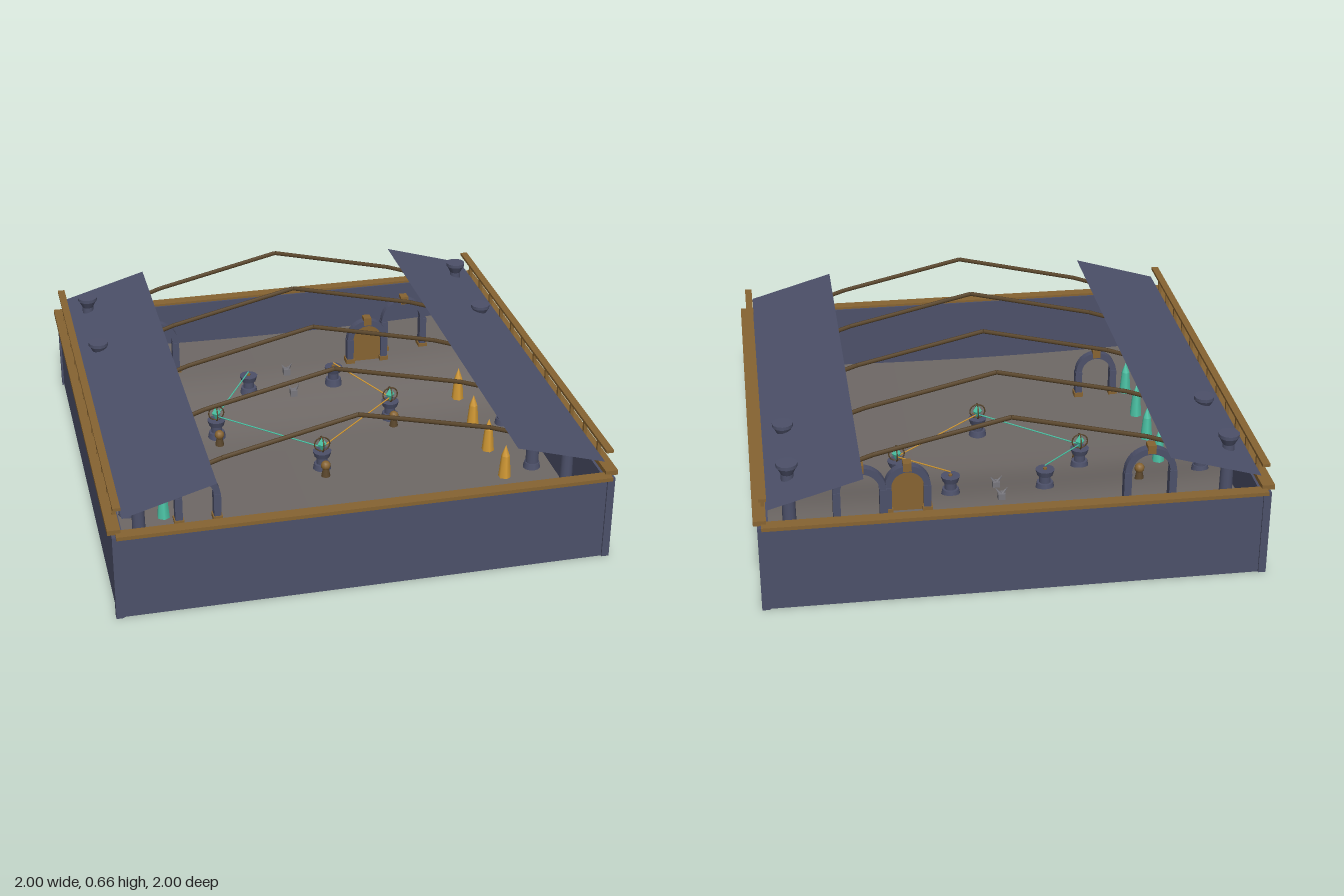
import * as THREE from 'three';

const mat = (name, color, side = THREE.FrontSide) => {
  const m = new THREE.MeshStandardMaterial({ color, side });
  m.name = name;
  return m;
};

// Ground height: level court, rising to a terrace at the back
const ground = (x, z) => {
  const t = THREE.MathUtils.clamp((-0.1 - z) / 0.5, 0, 1);
  return 0.07 + 0.025 * x * x + 0.09 * t * t * (3 - 2 * t);
};

export function createModel() {
  const root = new THREE.Group();
  root.name = 'courtyard';
  const slate = mat('slateBlue', 0x4c5069);
  const roofMat = mat('roofBlue', 0x4c5069, THREE.DoubleSide);
  const bronze = mat('bronze', 0x866331);
  const dark = mat('darkBronze', 0x59452a);
  const stone = mat('floorStone', 0x6e6865, THREE.DoubleSide);
  const rubble = mat('paleStone', 0x77767c);
  const teal = mat('teal', 0x4cc4a6);
  const gold = mat('brightGold', 0xd39a35);

  const add = (name, geo, m, x = 0, y = 0, z = 0, parent = root) => {
    const mesh = new THREE.Mesh(geo, m);
    mesh.name = name;
    mesh.position.set(x, y, z);
    parent.add(mesh);
    return mesh;
  };
  const box = (name, w, h, d, m, x, y, z, parent) =>
    add(name, new THREE.BoxGeometry(w, h, d), m, x, y, z, parent);
  const cyl = (name, rt, rb, h, m, x, y, z, parent, n = 12) =>
    add(name, new THREE.CylinderGeometry(rt, rb, h, n), m, x, y, z, parent);
  const rod = (name, a, b, r, m) => {
    const d = new THREE.Vector3().subVectors(b, a);
    const mesh = cyl(name, r, r, d.length(), m, 0, 0, 0, root, 6);
    mesh.position.copy(a).addScaledVector(d, 0.5);
    mesh.quaternion.setFromUnitVectors(new THREE.Vector3(0, 1, 0), d.normalize());
  };
  const place = (name, x, z) => {
    const g = new THREE.Group();
    g.name = name;
    g.position.set(x, ground(x, z), z);
    root.add(g);
    return g;
  };

  // Floor, lifted by the ground rule
  const floorGeo = new THREE.PlaneGeometry(1.92, 1.92, 32, 32).rotateX(-Math.PI / 2);
  const p = floorGeo.attributes.position;
  for (let i = 0; i < p.count; i++) p.setY(i, ground(p.getX(i), p.getZ(i)));
  floorGeo.computeVertexNormals();
  add('floor', floorGeo, stone);

  // Outer walls, trims and corner posts
  for (const s of [-1, 1]) {
    box('endWall', 1.95, 0.36, 0.035, slate, 0, 0.18, s * 0.96);
    box('sideWall', 0.035, 0.36, 1.95, slate, s * 0.96, 0.18, 0);
    box('endTrim', 1.94, 0.015, 0.05, bronze, 0, 0.3625, s * 0.975);
    box('sideTrim', 0.05, 0.02, 1.94, bronze, s * 0.975, 0.374, 0);
    for (const t of [-1, 1]) box('cornerPost', 0.03, 0.36, 0.03, slate, s * 0.97, 0.18, t * 0.97);
  }

  // Side galleries: sloping roof, railing and crystals
  for (const s of [-1, 1]) {
    const roof = add('galleryRoof', new THREE.PlaneGeometry(0.375, 1.94).rotateX(-Math.PI / 2),
      roofMat, s * 0.763, 0.482, 0);
    roof.rotation.z = -s * Math.atan2(0.105, 0.36);

    box('railing', 0.03, 0.012, 1.94, bronze, s * 0.96, 0.472, 0);
    for (let i = 0; i < 12; i++)
      box('railingPost', 0.014, 0.09, 0.014, bronze, s * 0.96, 0.425, -0.853 + i * 0.155);

    for (const z of [-0.23, 0, 0.22, 0.45]) {
      const g = place('crystal', s * 0.72, z);
      const m = s < 0 ? teal : gold;
      cyl('crystalBody', 0.018, 0.027, 0.1, m, 0, 0.06, 0, g, 6);
      cyl('crystalTip', 0, 0.018, 0.05, m, 0, 0.135, 0, g, 6);
    }
  }

  // Columns and the roof ribs between them
  for (let i = -2; i <= 2; i++) {
    const z = i * 0.39;
    for (const s of [-1, 1]) {
      const g = place('column', s * 0.86, z);
      cyl('columnBase', 0.032, 0.038, 0.03, slate, 0, 0.01, 0, g);
      cyl('columnShaft', 0.024, 0.028, 0.29, slate, 0, 0.155, 0, g);
      cyl('columnCapital', 0.04, 0.022, 0.035, slate, 0, 0.31, 0, g);
      cyl('columnTop', 0.042, 0.042, 0.014, slate, 0, 0.335, 0, g);
      const pts = [[0.84, 0.425], [0.53, 0.53], [0, 0.652]].map(([x, y]) => new THREE.Vector3(s * x, y, z));
      rod('lowerRib', pts[0], pts[1], 0.009, dark);
      rod('upperRib', pts[1], pts[2], 0.009, dark);
    }
  }

  // Free-standing arches
  const arch = (x, z, r, h) => {
    const g = place('arch', x, z);
    const spring = h - r;
    for (const s of [-1, 1]) {
      box('archPillar', 0.03, spring, 0.04, slate, s * (r - 0.013), spring / 2, 0, g);
      box('archFoot', 0.04, 0.02, 0.05, bronze, s * (r - 0.013), 0.008, 0, g);
    }
    const shape = new THREE.Shape();
    shape.absarc(0, 0, r, 0, Math.PI, false);
    shape.absarc(0, 0, r - 0.027, Math.PI, 0, true);
    const geo = new THREE.ExtrudeGeometry(shape, { depth: 0.034, bevelEnabled: false, curveSegments: 12 });
    add('archRing', geo, slate, 0, spring, -0.017, g);
    box('keystone', 0.034, 0.036, 0.042, bronze, 0, h - 0.004, 0, g);
    return g;
  };
  arch(-0.58, -0.665, 0.105, 0.25);
  arch(0.58, -0.665, 0.105, 0.25);
  arch(-0.585, 0.48, 0.092, 0.21);
  const gate = arch(0.385, -0.585, 0.092, 0.205);
  const door = new THREE.Shape();
  door.moveTo(-0.066, 0);
  door.lineTo(0.066, 0);
  door.lineTo(0.066, 0.113);
  door.absarc(0, 0.113, 0.066, 0, Math.PI, false);
  add('gateDoor', new THREE.ExtrudeGeometry(door, { depth: 0.008, bevelEnabled: false }),
    bronze, 0, 0, -0.004, gate);

  // Pedestals; three carry a crystal in a gold frame with a lamp in front
  const lamp = (x, z) => {
    const g = place('lamp', x, z);
    cyl('lampFoot', 0.012, 0.02, 0.04, dark, 0, 0.02, 0, g, 8);
    add('lampGlobe', new THREE.SphereGeometry(0.021, 10, 8), bronze, 0, 0.05, 0, g);
  };
  const pedestal = (x, z, lit) => {
    const g = place('pedestal', x, z);
    cyl('pedestalFoot', 0.034, 0.04, 0.03, slate, 0, 0.01, 0, g);
    cyl('pedestalNeck', 0.024, 0.024, 0.04, slate, 0, 0.04, 0, g);
    cyl('pedestalTop', 0.04, 0.032, 0.025, slate, 0, 0.07, 0, g);
    if (!lit) {
      cyl('pedestalStud', 0.008, 0.008, 0.008, bronze, 0, 0.085, 0, g, 8);
      return;
    }
    const gem = add('gem', new THREE.OctahedronGeometry(0.02), teal, 0, 0.115, 0, g);
    gem.scale.y = 1.7;
    for (const a of [0, Math.PI / 2]) {
      const hoop = add('gemFrame', new THREE.TorusGeometry(0.033, 0.003, 5, 16), dark, 0, 0.115, 0, g);
      hoop.rotation.y = a;
    }
    lamp(x, z + 0.068);
  };
  for (const s of [-1, 1]) {
    pedestal(s * 0.195, -0.44, false);
    pedestal(s * 0.39, -0.175, true);
  }
  pedestal(0, 0.175, true);
  lamp(-0.59, -0.44);

  // Beams linking the pedestals
  for (const s of [-1, 1]) {
    const m = s < 0 ? teal : gold;
    const pts = [[0.195, -0.44], [0.39, -0.175], [0, 0.175]]
      .map(([x, z]) => new THREE.Vector3(s * x, ground(x, z) + 0.1, z));
    rod('backBeam', pts[0], pts[1], 0.003, m);
    rod('frontBeam', pts[1], pts[2], 0.003, m);
  }

  // Small stone markers on the centre line
  for (const z of [-0.54, -0.39]) {
    const g = place('marker', 0, z);
    box('markerBlock', 0.03, 0.03, 0.03, rubble, 0, 0.012, 0, g);
    for (const s of [-1, 1]) {
      const horn = cyl('markerHorn', 0, 0.01, 0.04, rubble, s * 0.014, 0.035, 0, g, 5);
      horn.rotation.z = -s * 0.6;
    }
  }
  return root;
}
